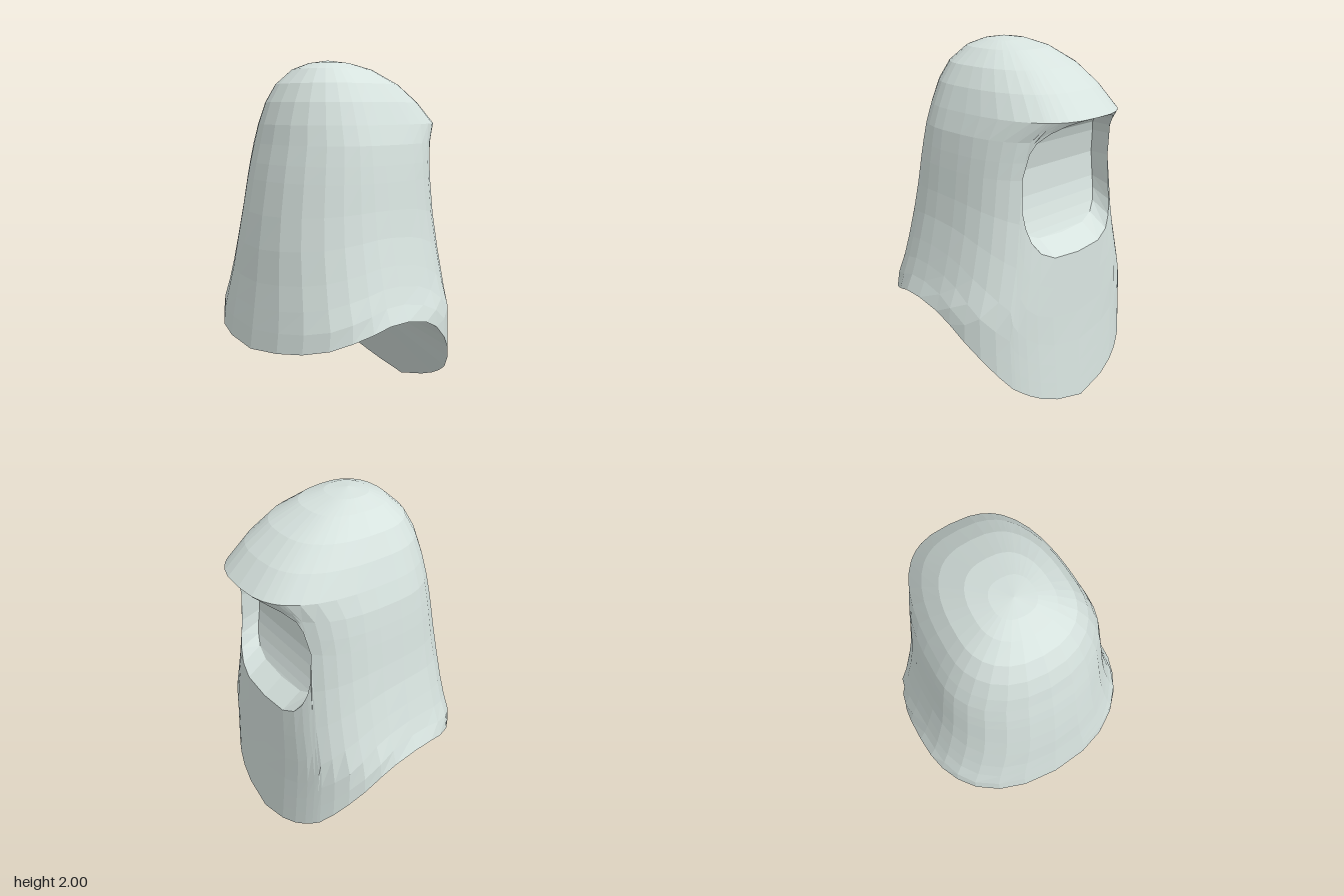
import * as THREE from 'three';

const rad = THREE.MathUtils.degToRad;
const lerp = THREE.MathUtils.lerp;

// Linear lookup in rows sorted by their first number
function lookup(table, t, col) {
  for (let i = 1; i < table.length; i++) {
    const a = table[i - 1], b = table[i];
    if (t <= b[0]) return lerp(a[col], b[col], Math.max(0, (t - a[0]) / (b[0] - a[0])));
  }
  return table[table.length - 1][col];
}

// Cross-sections: height, half width, front z, back z
const SECTIONS = [
  [0, 0.665, 0.66, -0.58], [0.44, 0.66, 0.62, -0.545], [0.63, 0.655, 0.595, -0.535],
  [0.73, 0.61, 0.58, -0.53], [0.85, 0.575, 0.565, -0.525], [1.05, 0.525, 0.545, -0.51],
  [1.2, 0.5, 0.52, -0.5], [1.4, 0.475, 0.485, -0.5], [1.55, 0.45, 0.45, -0.535],
  [1.65, 0.415, 0.43, -0.62], [1.77, 0.365, 0.39, -0.5], [1.87, 0.3, 0.335, -0.365],
  [1.95, 0.2, 0.25, -0.2], [1.985, 0.11, 0.16, -0.06], [2, 0, 0.06, 0.06],
];

// Roundness of the sections (1 is an ellipse): height, front, back
const ROUNDNESS = [[0, 0.83, 0.72], [0.63, 0.83, 0.67], [1.1, 0.9, 0.65], [1.5, 0.92, 0.66],
  [1.65, 0.92, 0.74], [2, 0.85, 0.8]];

// Hem height by angle from the back, in degrees
const HEM = [[0, 0], [10, 0.05], [22, 0.11], [36, 0.2], [57, 0.4], [75, 0.55], [83, 0.6], [90, 0.63],
  [100, 0.627], [110, 0.595], [140, 0.5], [180, 0.44]];

const HALF = [0, 10, 19, 26, 31, 34, 36, 45, 55, 65, 75, 83, 90, 100, 110, 122, 135, 150, 165, 180];
const ANGLES = [...HALF.slice(1).reverse().map((a) => -a), ...HALF];
const OPENING = 36, MID = 1.35, BROW = 1.65, CHIN = 0.89;

// Point on the hood surface
function surface(deg, y) {
  const s = Math.sin(rad(deg)), c = Math.cos(rad(deg)), mid = 0.06;
  const power = lookup(ROUNDNESS, y, c > 0 ? 2 : 1);
  const bow = (v) => Math.sign(v) * Math.pow(Math.abs(v), power);
  const reach = c > 0 ? mid - lookup(SECTIONS, y, 3) : lookup(SECTIONS, y, 2) - mid;
  return new THREE.Vector3(lookup(SECTIONS, y, 1) * bow(s), y, mid - reach * bow(c));
}

// Upper and lower edge of the face opening; they meet at its sides
function openingEdge(deg, end, power) {
  const t = Math.min(1, Math.abs(deg) / OPENING);
  return MID + (end - MID) * Math.pow(1 - Math.pow(t, power), 1 / power);
}
const browY = (deg) => openingEdge(deg, BROW, 2.5);
const chinY = (deg) => openingEdge(deg, CHIN, 2.2);
const hemY = (deg) => lookup(HEM, Math.abs(deg), 1);

// Faceted skin through equal-length loops of points
function loft(loops) {
  const pos = [];
  const tri = (a, b, c) => {
    const area = b.clone().sub(a).cross(c.clone().sub(a)).length();
    if (area > 1e-7) for (const v of [a, b, c]) pos.push(v.x, v.y, v.z);
  };
  for (let i = 1; i < loops.length; i++) {
    for (let j = 1; j < loops[i].length; j++) {
      const a = loops[i - 1][j - 1], b = loops[i - 1][j], c = loops[i][j], d = loops[i][j - 1];
      tri(a, b, c);
      tri(a, c, d);
    }
  }
  const geo = new THREE.BufferGeometry();
  geo.setAttribute('position', new THREE.Float32BufferAttribute(pos, 3));
  geo.computeVertexNormals();
  return geo;
}

export function createModel() {
  const cloth = new THREE.MeshStandardMaterial({ color: 0xd6e2de, side: THREE.DoubleSide });
  cloth.name = 'paleCloth';
  const group = new THREE.Group();
  group.name = 'hood';
  const add = (name, loops) => {
    const mesh = new THREE.Mesh(loft(loops), cloth);
    mesh.name = name;
    group.add(mesh);
  };

  // Crown: level rings from the top down to the brow
  const crownHeights = [2, 1.985, 1.95, 1.87, 1.77, BROW];
  add('crown', crownHeights.map((y) => ANGLES.map((a) => surface(a, y))));

  // Temples: from the brow ring down to the upper edge of the opening
  add('temples', [0, 0.35, 0.7, 1].map((f) => ANGLES.map((a) => surface(a, lerp(BROW, browY(a), f)))));

  // Mantle: from the lower edge of the opening down to the hem
  const mantleSteps = [0, 0.2, 0.4, 0.6, 0.75, 0.88, 1];
  add('mantle', mantleSteps.map((f) => ANGLES.map((a) => surface(a, lerp(chinY(a), hemY(a), f)))));

  // Rim turned into the face opening, rising inward at the chin
  const inward = (v) => {
    const rise = 0.08 * Math.max(0, (MID - v.y) / (MID - CHIN));
    return new THREE.Vector3(v.x, v.y + rise, v.z + 0.12);
  };
  const open = ANGLES.filter((a) => Math.abs(a) <= OPENING);
  const edge = [
    ...open.map((a) => surface(a, browY(a))),
    ...open.slice(0, -1).reverse().map((a) => surface(a, chinY(a))),
  ];
  add('openingRim', [edge, edge.map(inward)]);

  // Inner face: strips across the recess, following the curve of the rim
  const sides = HALF.filter((a) => a <= OPENING);
  const across = (a, y) => [surface(a, y), surface(-a, y)].map(inward);
  add('innerFace', [
    ...sides.map((a) => across(a, browY(a))),
    ...sides.slice(0, -1).reverse().map((a) => across(a, chinY(a))),
  ]);

  // Underside closing the hem
  const hem = ANGLES.map((a) => surface(a, hemY(a)));
  add('underside', [hem, hem.map(() => new THREE.Vector3(0, 0.73, 0))]);

  return group;
}
